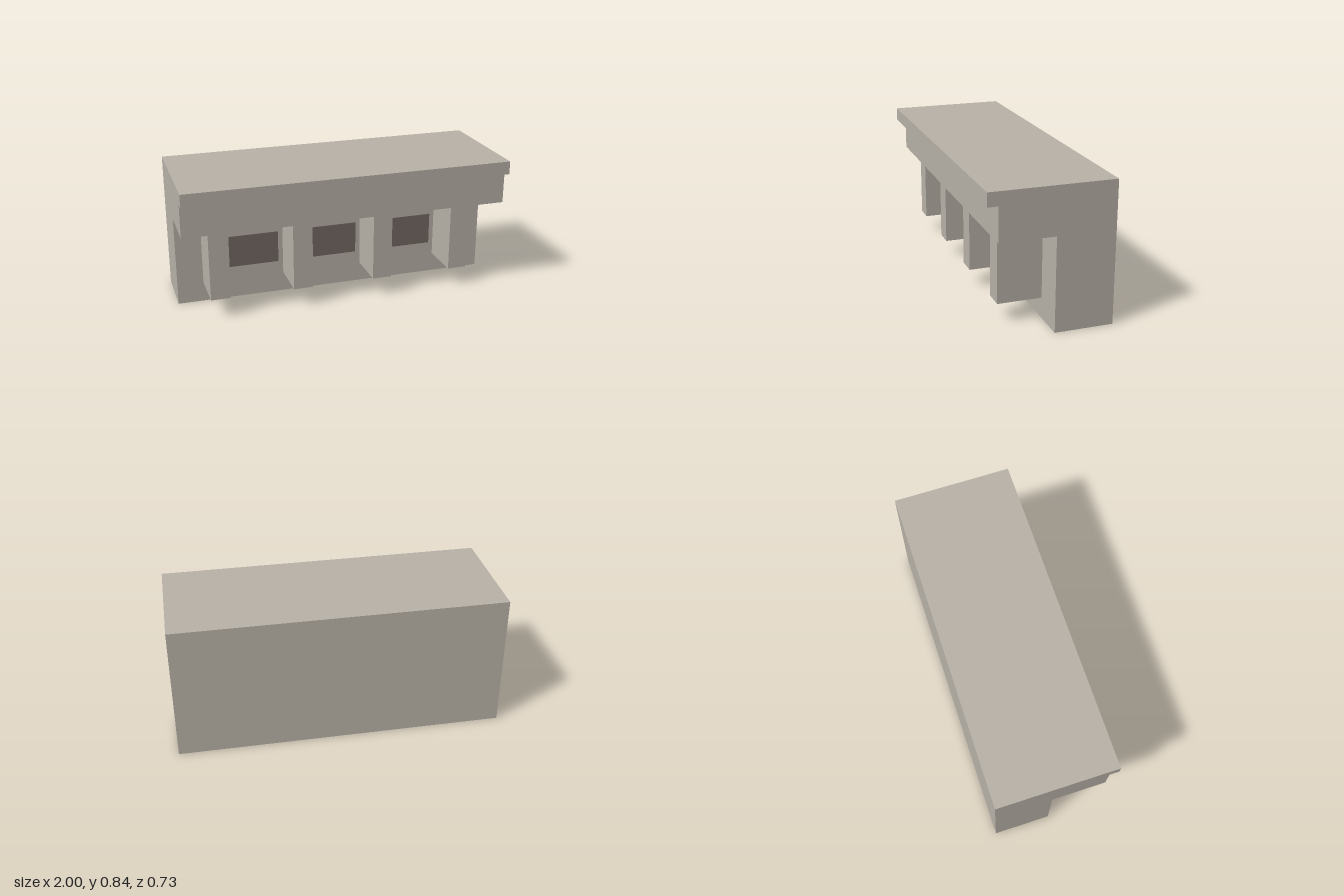
import * as THREE from 'three';

export function createModel() {
  const model = new THREE.Group();
  const stone = new THREE.MeshStandardMaterial({ name: 'stone', color: 0xb8b2a8 });
  const recess = new THREE.MeshStandardMaterial({ name: 'dark panel', color: 0x736862 });

  const wallZ = -0.02; // front face of the wall

  // Wall, frieze and overhanging cornice as one profile (z, y) swept along x
  const profile = new THREE.Shape([
    [-0.366, 0], [wallZ, 0], [wallZ, 0.561], [0.306, 0.561],
    [0.306, 0.763], [0.366, 0.763], [0.366, 0.844], [-0.366, 0.844],
  ].map(([z, y]) => new THREE.Vector2(z, y)));
  const bodyGeometry = new THREE.ExtrudeGeometry(profile, { depth: 2, bevelEnabled: false });
  bodyGeometry.rotateY(-Math.PI / 2).translate(1, 0, 0);
  const body = new THREE.Mesh(bodyGeometry, stone);
  body.name = 'wallAndCornice';
  model.add(body);

  function addBox(name, material, width, height, depth, x, y, z) {
    const mesh = new THREE.Mesh(new THREE.BoxGeometry(width, height, depth), material);
    mesh.name = name;
    mesh.position.set(x, y, z);
    model.add(mesh);
  }

  const spacing = 0.507;
  // Brackets under the cornice
  for (let i = 0; i < 4; i++) {
    addBox('bracket', stone, 0.12, 0.438, 0.263, -0.78 + i * spacing, 0.342, wallZ + 0.1315);
  }
  // Dark panels on the wall between the brackets
  for (let i = 0; i < 3; i++) {
    addBox('panel', recess, 0.324, 0.2, 0.006, -0.525 + i * spacing, 0.305, wallZ + 0.001);
  }

  return model;
}
